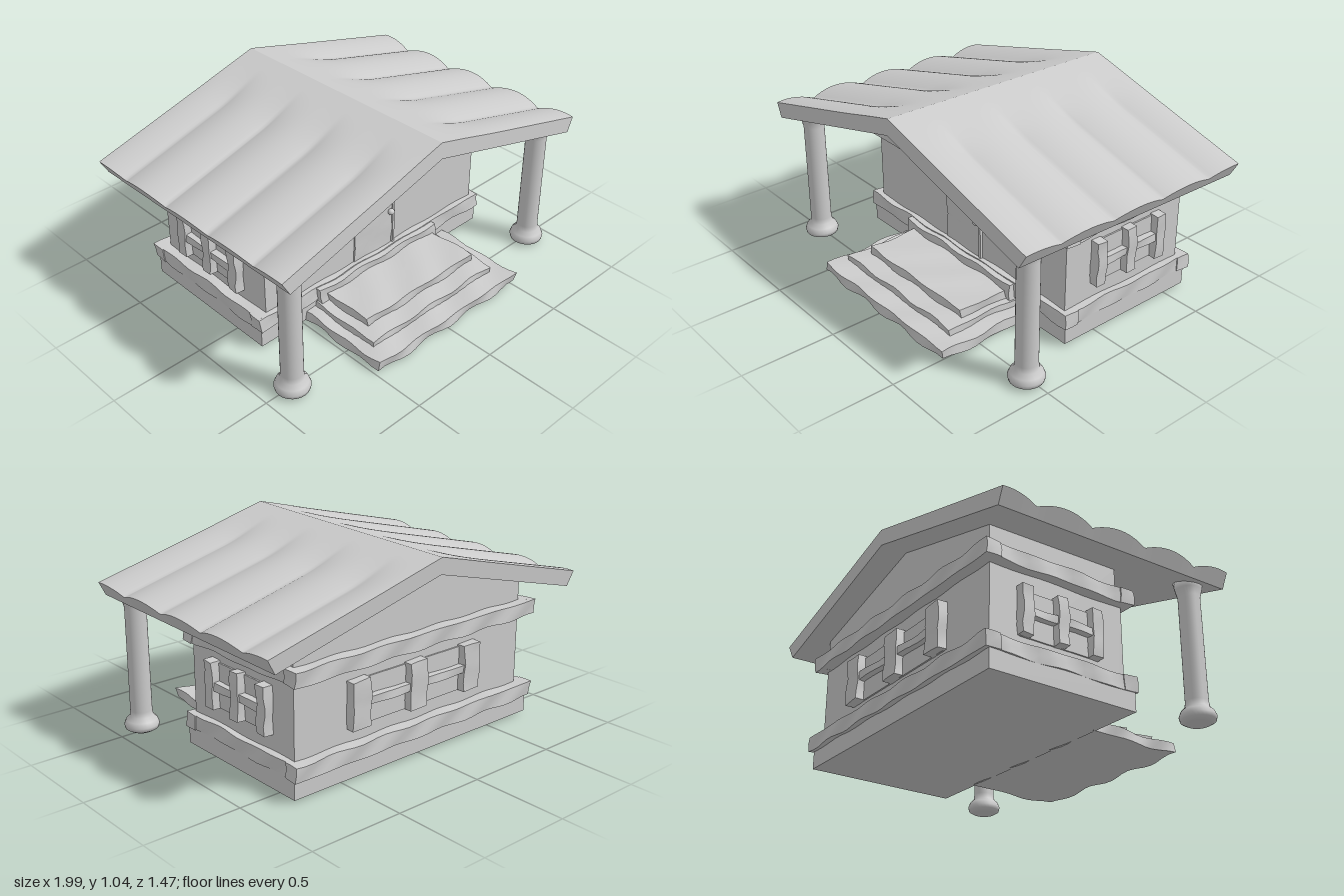
import * as THREE from 'three';

const material = new THREE.MeshStandardMaterial({ color: 0xcccccc });

export function createModel() {
  const house = new THREE.Group();
  house.name = 'cabin';

  const add = (name, geometry, parent = house) => {
    const mesh = new THREE.Mesh(geometry, material);
    mesh.name = name;
    parent.add(mesh);
    return mesh;
  };

  // Move every vertex of a geometry by a rule
  const reshape = (geometry, rule) => {
    const p = geometry.attributes.position;
    const v = new THREE.Vector3();
    for (let i = 0; i < p.count; i++) {
      rule(v.fromBufferAttribute(p, i));
      p.setXYZ(i, v.x, v.y, v.z);
    }
    geometry.computeVertexNormals();
    return geometry;
  };

  // Box given by its limits; a wobble makes it look hand-hewn
  const plank = (name, [x0, x1], [y0, y1], [z0, z1], wobble = 0, parent = house) => {
    const size = [x1 - x0, y1 - y0, z1 - z0];
    const seg = size.map((s) => (wobble ? Math.max(1, Math.round(s / 0.05)) : 1));
    const g = new THREE.BoxGeometry(...size, ...seg);
    g.translate((x0 + x1) / 2, (y0 + y1) / 2, (z0 + z1) / 2);
    if (wobble) {
      reshape(g, (v) => {
        const { x, y, z } = v;
        v.x += wobble * Math.sin(23 * z + 31 * y);
        v.y += wobble * Math.sin(19 * x + 14 * z) * 0.8;
        v.z += wobble * Math.sin(21 * x + 40 * y);
      });
    }
    return add(name, g, parent);
  };

  // Gabled body
  const outline = new THREE.Shape();
  outline.moveTo(-0.72, 0.05);
  outline.lineTo(0.76, 0.05);
  outline.lineTo(0.76, 0.77);
  outline.lineTo(0, 0.975);
  outline.lineTo(-0.72, 0.78);
  outline.closePath();
  const body = new THREE.ExtrudeGeometry(outline, { depth: 0.74, bevelEnabled: false });
  body.translate(0, 0, -0.59);
  add('walls', body);
  plank('frontWall', [-0.72, 0.76], [0.1, 0.6], [0.14, 0.18]);

  // Foundation and the two bands of planks round the walls
  plank('foundation', [-0.77, 0.79], [0.03, 0.13], [-0.625, 0.2]);
  const band = (name, y) => {
    plank(name + 'Front', [-0.78, 0.8], y, [0.13, 0.21], 0.005);
    plank(name + 'Back', [-0.78, 0.8], y, [-0.65, -0.57], 0.005);
    plank(name + 'Right', [-0.775, -0.7], y, [-0.62, 0.2], 0.005);
    plank(name + 'Left', [0.72, 0.795], y, [-0.62, 0.2], 0.005);
  };
  band('lowerBand', [0.125, 0.2]);
  band('upperBand', [0.575, 0.65]);

  // Door with jamb and knob
  plank('door', [-0.13, 0.135], [0.19, 0.58], [0.15, 0.188], 0.003);
  plank('doorJamb', [0.137, 0.15], [0.19, 0.58], [0.15, 0.195]);
  const knob = add('doorKnob', new THREE.SphereGeometry(0.018, 12, 8));
  knob.position.set(0.12, 0.4, 0.198);

  // Entrance steps
  plank('threshold', [-0.41, 0.43], [0.1, 0.195], [0.15, 0.24], 0.006);
  plank('topStep', [-0.36, 0.4], [0.1, 0.155], [0.2, 0.52], 0.006);
  plank('middleStep', [-0.42, 0.44], [0.06, 0.112], [0.2, 0.62], 0.006);
  plank('bottomStep', [-0.48, 0.52], [0.03, 0.08], [0.19, 0.725], 0.008);

  // Windows: three uprights and a crossbar, built facing +z
  const makeWindow = (name, half, position, turn) => {
    const w = new THREE.Group();
    w.name = name;
    const post = half * 0.13;
    for (const s of [-1, 0, 1]) {
      const c = s * (half - post);
      plank('upright', [c - post, c + post], [-0.12, 0.12], [-0.02, 0.05], 0.004, w);
    }
    plank('crossbar', [-half * 0.9, half * 0.9], [-0.02, 0.02], [-0.02, 0.042], 0.004, w);
    plank('pane', [-half * 0.95, half * 0.95], [-0.12, 0.11], [-0.02, 0.008], 0, w);
    w.position.set(...position);
    w.rotation.y = turn;
    house.add(w);
  };
  makeWindow('leftWindow', 0.23, [0.76, 0.405, -0.21], Math.PI / 2);
  makeWindow('rightWindow', 0.23, [-0.72, 0.375, -0.21], -Math.PI / 2);
  makeWindow('backWindow', 0.42, [0.03, 0.39, -0.59], Math.PI);

  // Porch posts with bulging feet and flared tops
  const profile = [
    [0, 0.018], [0.06, 0.02], [0.085, 0.035], [0.09, 0.055], [0.08, 0.08],
    [0.06, 0.1], [0.056, 0.13], [0.055, 0.68], [0.065, 0.72], [0.075, 0.77], [0, 0.77],
  ].map(([r, y]) => new THREE.Vector2(r, y));
  for (const [name, x] of [['rightPost', -0.85], ['leftPost', 0.87]]) {
    add(name, new THREE.LatheGeometry(profile, 28)).position.set(x, 0, 0.515);
  }

  // Roof slopes: scalloped top whose valleys fade out towards the ridge
  const roofSlope = (name, side) => {
    const g = new THREE.BoxGeometry(1, 1, 1.36, 30, 1, 96);
    reshape(g, (v) => {
      const top = v.y > 0;
      const d = side > 0 ? v.x + 0.5 : 0.5 - v.x; // distance out from the ridge
      const z = v.z - 0.045;
      const wave = Math.abs(Math.sin((Math.PI * (z - 0.42)) / 0.317));
      const fade = THREE.MathUtils.smoothstep(d, 0.08, 0.4);
      const valley = 0.032 * fade * (1 - Math.pow(wave, 0.8));
      const reach = top ? 0.997 - valley * 0.6 : 0.955;
      const y = top ? 1.05 - 0.258 * d - valley : 0.965 - 0.25 * d;
      v.set(side * d * reach, y + 0.018 * z, z - 0.07 * (y - 0.88));
    });
    add(name, g);
  };
  roofSlope('leftRoof', 1);
  roofSlope('rightRoof', -1);

  return house;
}
